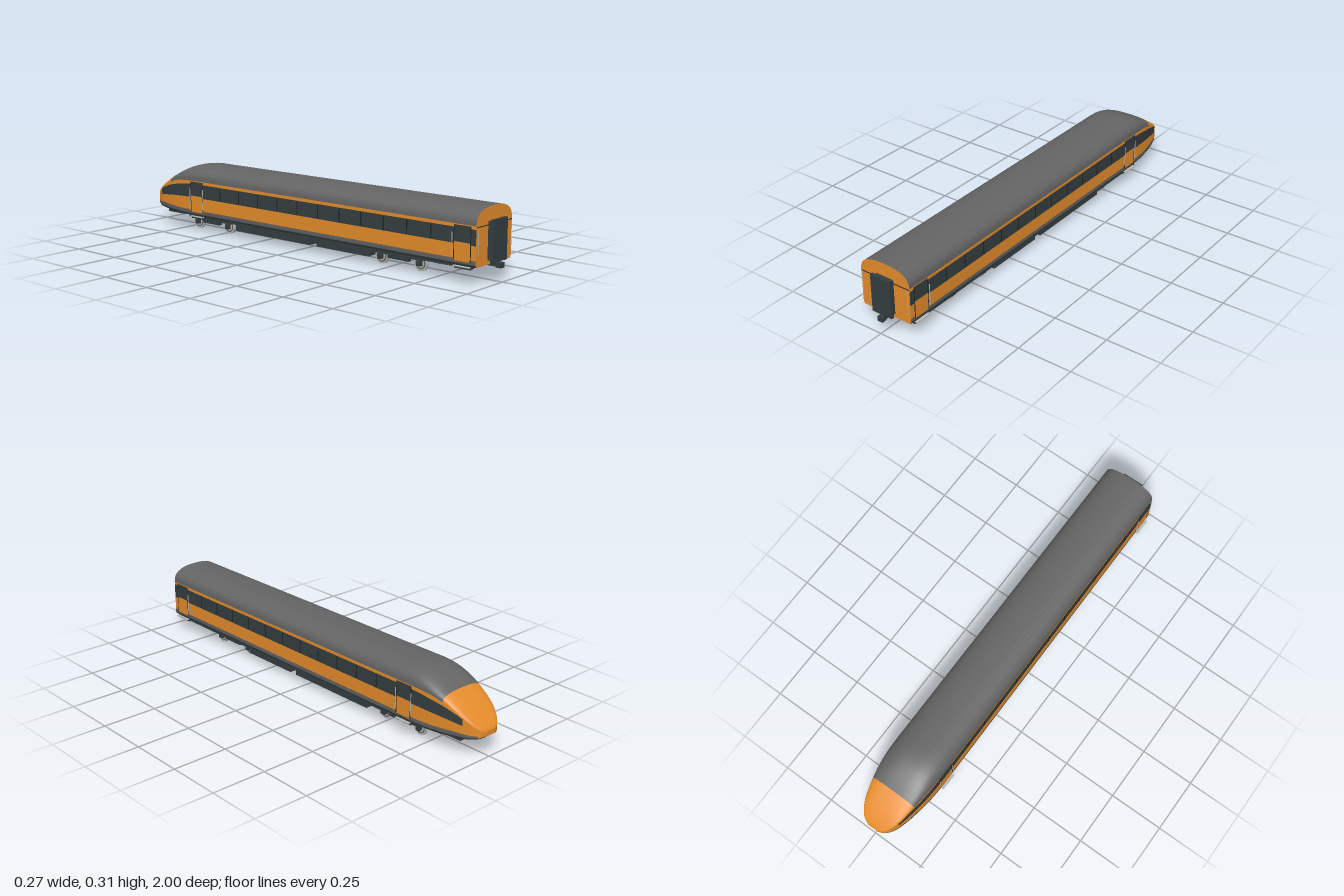
import * as THREE from 'three';

const mat = (name, color, side = THREE.FrontSide) => {
  const m = new THREE.MeshStandardMaterial({ color, side });
  m.name = name;
  return m;
};

export function createModel() {
  const orange = mat('orange paint', 0xe48b2a);
  const roofGrey = mat('roof grey', 0x646464);
  const dark = mat('dark glass and equipment', 0x353e40);
  const metal = mat('light metal', 0xb4b4b2);
  const seam = mat('seam black', 0x202628);
  const mats = [orange, roofGrey, dark];

  const train = new THREE.Group();
  train.name = 'trainCar';
  const add = (name, geo, material, x = 0, y = 0, z = 0) => {
    const m = new THREE.Mesh(geo, material);
    m.name = name;
    m.position.set(x, y, z);
    train.add(m);
    return m;
  };
  // box given by its limits in x, y and z
  const box = (name, material, x0, x1, y0, y1, z0, z1) => add(name,
    new THREE.BoxGeometry(Math.abs(x1 - x0), Math.abs(y1 - y0), Math.abs(z1 - z0)), material,
    (x0 + x1) / 2, (y0 + y1) / 2, (z0 + z1) / 2);
  const rod = (name, material, r, len, axis, x, y, z, sides = 16) => {
    const g = new THREE.CylinderGeometry(r, r, len, sides);
    if (axis === 'x') g.rotateZ(Math.PI / 2);
    if (axis === 'z') g.rotateX(Math.PI / 2);
    return add(name, g, material, x, y, z);
  };

  // skin between successive cross-sections, coloured by pick(row, z)
  const loft = (rings, pick) => {
    const n = rings[0].length, pos = [], lists = [[], [], []];
    rings.forEach(r => r.forEach(p => pos.push(p.x, p.y, p.z)));
    for (let s = 0; s < rings.length - 1; s++) {
      const z = (rings[s][0].z + rings[s + 1][0].z) / 2;
      for (let i = 0; i < n - 1; i++) {
        const a = s * n + i, b = a + 1, c = a + n, d = c + 1;
        lists[pick(i, z)].push(a, c, b, b, c, d);
      }
    }
    const g = new THREE.BufferGeometry();
    g.setAttribute('position', new THREE.Float32BufferAttribute(pos, 3));
    g.setIndex(lists.flat());
    let start = 0;
    lists.forEach((l, k) => { g.addGroup(start, l.length, k); start += l.length; });
    g.computeVertexNormals();
    return g;
  };

  // nose stations: z, half width, bottom, window bottom, window top, shoulder, top
  const stations = [
    [-0.60, 0.127, 0.072, 0.160, 0.226, 0.240, 0.310],
    [-0.66, 0.127, 0.072, 0.160, 0.226, 0.240, 0.310],
    [-0.72, 0.125, 0.072, 0.159, 0.222, 0.238, 0.302],
    [-0.78, 0.120, 0.073, 0.156, 0.213, 0.232, 0.280],
    [-0.84, 0.111, 0.075, 0.151, 0.201, 0.216, 0.248],
    [-0.89, 0.101, 0.078, 0.145, 0.185, 0.194, 0.216],
    [-0.93, 0.090, 0.081, 0.138, 0.167, 0.173, 0.187],
    [-0.965, 0.073, 0.085, 0.126, 0.144, 0.148, 0.157],
    [-0.99, 0.050, 0.090, 0.117, 0.124, 0.126, 0.132],
    [-1.00, 0.026, 0.096, 0.111, 0.114, 0.115, 0.118],
  ];
  const curves = [1, 2, 3, 4, 5, 6].map(k =>
    new THREE.SplineCurve(stations.map(s => new THREE.Vector2(s[0], s[k]))));
  const steps = (stations.length - 1) * 3;
  const sections = [[0.955, ...stations[0].slice(1)]];
  for (let i = 0; i <= steps; i++) {
    const pts = curves.map(c => c.getPoint(i / steps));
    sections.push([pts[0].x, ...pts.map(p => p.y)]);
  }
  const ROOF = 9;
  const ring = ([z, w, yb, w0, w1, sh, top]) => {
    const sill = yb + Math.min(0.027, (w0 - yb) * 0.4);
    const half = [[w * 0.96, yb], [w, yb + (sill - yb) * 0.35], [w, sill], [w, w0], [w, w1], [w, sh]];
    for (let k = 1; k <= ROOF; k++) {
      const a = k / ROOF * Math.PI / 2;
      half.push([w * Math.max(0, Math.cos(a)) ** 0.8, sh + (top - sh) * Math.sin(a) ** 0.8]);
    }
    half[half.length - 1][0] = 0;
    const mirrored = half.slice(0, -1).reverse().map(([x, y]) => [-x, y]);
    return [...half, ...mirrored].map(([x, y]) => new THREE.Vector3(x, y, z));
  };
  const rings = sections.map(ring);
  const rows = rings[0].length - 1;
  add('bodyShell', loft(rings, (i, z) => {
    const r = Math.min(i, rows - 1 - i);
    if (r === 0) return 2;
    if (r === 1) return z > -0.985 ? 1 : 0;
    if (r === 3) return z > -0.93 ? 2 : 0;
    return r >= 5 && z > -0.84 ? 1 : 0;
  }), mats);
  add('underside', loft(rings.map(r => [r[rows], r[0]]), (i, z) => z > -0.62 ? 0 : 1), mats);
  const cap = r => new THREE.ShapeGeometry(new THREE.Shape(r.map(p => new THREE.Vector2(p.x, p.y))));
  add('endWall', cap(rings[0]), orange, 0, 0, 0.955);
  add('noseTip', cap(rings[rings.length - 1]).rotateY(Math.PI), orange, 0, 0, -1);

  // gangway and coupler on the flat end
  box('gangwayInner', dark, -0.044, 0.044, 0.09, 0.25, 0.955, 0.972);
  box('gangwayFrame', dark, -0.051, 0.051, 0.083, 0.258, 0.972, 0.985);
  box('endWallSeam', seam, -0.125, 0.125, 0.233, 0.236, 0.955, 0.957);
  box('couplerShank', dark, -0.011, 0.011, 0.061, 0.078, 0.9, 0.985);
  box('couplerHead', dark, -0.013, 0.013, 0.058, 0.08, 0.975, 1.0);
  box('couplerPlate', dark, -0.024, 0.024, 0.072, 0.084, 0.955, 0.972);

  for (const s of [1, -1]) {
    rod('endHandrail', metal, 0.0015, 0.11, 'y', s * 0.118, 0.175, 0.96, 8);
    // doors with steps and handrails
    for (const [z0, z1] of [[0.85, 0.93], [-0.68, -0.6]]) {
      box('doorLower', orange, s * 0.124, s * 0.1285, 0.09, 0.168, z0, z1);
      box('doorGlass', dark, s * 0.124, s * 0.1285, 0.168, 0.236, z0, z1);
      for (const z of [z0, z1]) {
        box('doorSeam', seam, s * 0.124, s * 0.129, 0.09, 0.236, z - 0.0015, z + 0.0015);
      }
      for (const z of z0 > 0 ? [z0 - 0.008] : [z0 - 0.004, z1 + 0.004]) {
        rod('doorHandrail', metal, 0.0018, 0.096, 'y', s * 0.131, 0.157, z, 8);
      }
      box('doorStep', metal, s * 0.11, s * 0.137, 0.068, 0.071, z0, z1);
      box('stepBracket', dark, s * 0.116, s * 0.123, 0.058, 0.074, z0, z1);
    }
    // window posts
    for (let i = 0; i < 12; i++) {
      const z = 0.735 - i * 0.1215;
      box('windowPost', seam, s * 0.125, s * 0.128, 0.163, 0.222, z - 0.003, z + 0.003);
    }
    box('sillRail', dark, s * 0.108, s * 0.122, 0.063, 0.073, -0.7, 0.935);
  }

  // underfloor equipment
  box('frontEquipmentBox', dark, -0.105, 0.105, 0.03, 0.072, 0.1, 0.395);
  box('rearEquipmentBox', dark, -0.105, 0.105, 0.03, 0.072, -0.4, 0.06);
  box('frontVent', dark, -0.045, 0.045, 0.025, 0.032, 0.1, 0.19);
  box('rearVent', dark, 0.04, -0.04, 0.025, 0.032, -0.24, -0.15);
  box('noseSkirt', dark, -0.07, 0.07, 0.055, 0.069, -0.905, -0.79);
  box('noseSkirtMount', dark, -0.045, 0.045, 0.067, 0.082, -0.885, -0.81);

  // bogies
  for (const zc of [0.5425, -0.5825]) {
    box('bogieBolster', dark, -0.085, 0.085, 0.042, 0.072, zc - 0.03, zc + 0.03);
    for (const s of [1, -1]) {
      box('bogieSideBeam', dark, s * 0.074, s * 0.092, 0.036, 0.06, zc - 0.055, zc + 0.055);
      box('bogieUpperBeam', dark, s * 0.076, s * 0.09, 0.05, 0.064, zc - 0.13, zc + 0.13);
      box('bogieSpring', orange, s * 0.078, s * 0.09, 0.06, 0.072, zc - 0.02, zc + 0.02);
    }
    for (const dz of [0.1025, -0.1025]) {
      const z = zc + dz;
      rod('axle', metal, 0.007, 0.14, 'x', 0, 0.037, z);
      for (const s of [1, -1]) {
        rod('wheel', metal, 0.034, 0.009, 'x', s * 0.066, 0.034, z, 28);
        rod('wheelDisc', roofGrey, 0.026, 0.011, 'x', s * 0.066, 0.034, z, 24);
        rod('wheelHub', metal, 0.02, 0.013, 'x', s * 0.066, 0.034, z, 24);
        box('axleBox', dark, s * 0.072, s * 0.088, 0.024, 0.046, z - 0.011, z + 0.011);
      }
    }
  }
  return train;
}
